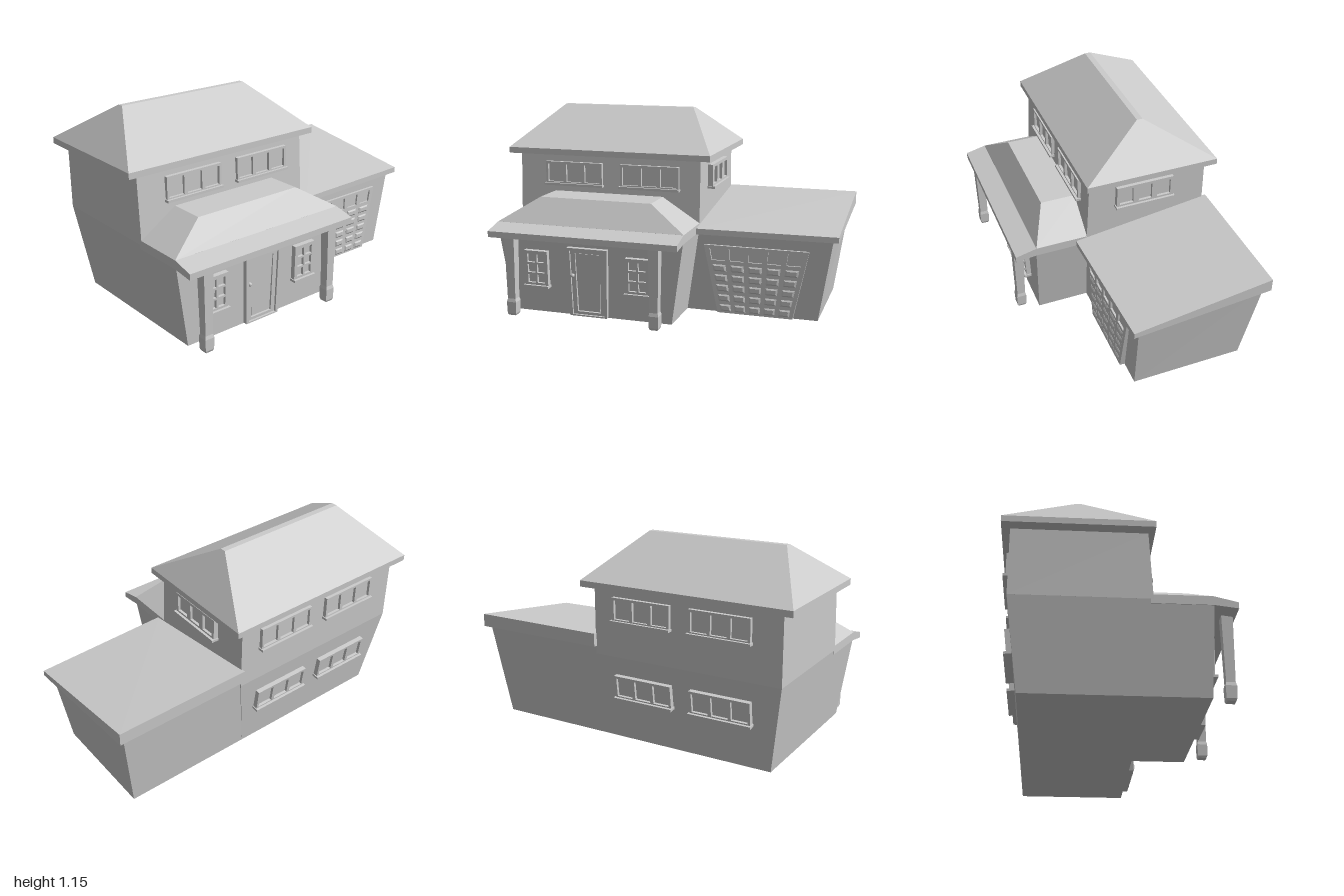
import * as THREE from 'three';

const material = new THREE.MeshStandardMaterial({ color: 0xcccccc, flatShading: true });

function addMesh(parent, name, geometry) {
  const mesh = new THREE.Mesh(geometry, material);
  mesh.name = name;
  parent.add(mesh);
  return mesh;
}

// Closed solid through a stack of four-cornered rings
function loft(rings) {
  const p = [];
  const quad = (a, b, c, d) => p.push(...a, ...b, ...c, ...a, ...c, ...d);
  for (let r = 0; r < rings.length - 1; r++) {
    for (let i = 0; i < 4; i++) {
      const j = (i + 1) % 4;
      quad(rings[r][i], rings[r][j], rings[r + 1][j], rings[r + 1][i]);
    }
  }
  const [a, b, c, d] = rings[0];
  quad(d, c, b, a);
  quad(...rings[rings.length - 1]);
  const g = new THREE.BufferGeometry();
  g.setAttribute('position', new THREE.Float32BufferAttribute(p, 3));
  g.computeVertexNormals();
  return g;
}

// Horizontal ring; front and back edges may differ in height
const ring = (x0, x1, z0, z1, yFront, yBack = yFront) =>
  [[x0, yFront, z1], [x1, yFront, z1], [x1, yBack, z0], [x0, yBack, z0]];

// Trapezoid face: maps u (-1..1) and v (0..1) to x and y
const taper = (bottom, top, h) => (u, v) => [u * (bottom + (top - bottom) * v) / 2, v * h];

const corners = (map, u0, u1, v0, v1) => [map(u0, v0), map(u1, v0), map(u1, v1), map(u0, v1)];

// Plate with rectangular openings given as [u0, u1, v0, v1]
function plate(map, openings, depth) {
  const toPoints = (c) => c.map(([x, y]) => new THREE.Vector2(x, y));
  const shape = new THREE.Shape(toPoints(corners(map, -1, 1, 0, 1)));
  for (const o of openings) shape.holes.push(new THREE.Path(toPoints(corners(map, ...o)).reverse()));
  return new THREE.ExtrudeGeometry(shape, { depth, bevelEnabled: false });
}

// Even grid of cells inside a border, in u and v
function cells(cols, rows, u0, u1, v0, v1, gapU, gapV) {
  const out = [];
  const w = (u1 - u0 - gapU * (cols - 1)) / cols;
  const h = (v1 - v0 - gapV * (rows - 1)) / rows;
  for (let r = 0; r < rows; r++) {
    for (let c = 0; c < cols; c++) {
      const u = u0 + c * (w + gapU), v = v0 + r * (h + gapV);
      out.push([u, u + w, v, v + h]);
    }
  }
  return out;
}

// Group placed on a wall: turn about y, then lean outwards at the top
function onWall(parent, name, x, y, z, turn = 0, lean = 0) {
  const g = new THREE.Group();
  g.name = name;
  g.rotation.order = 'YXZ';
  g.rotation.set(lean, turn, 0);
  g.position.set(x, y, z);
  parent.add(g);
  return g;
}

function addWindow(parent, name, { x, y, z, turn, lean, w, h, cols, rows, border, gap }) {
  const g = onWall(parent, name, x, y, z, turn, lean);
  const bu = 2 * border / w, bv = border / h;
  const openings = cells(cols, rows, -1 + bu, 1 - bu, bv, 1 - bv, 2 * gap / w, gap / h);
  addMesh(g, 'windowFrame', plate(taper(w, w, h), openings, 0.03));
  addMesh(g, 'glass', new THREE.BoxGeometry(w - 0.01, h - 0.01, 0.014)).position.set(0, h / 2, 0.007);
  addMesh(g, 'sill', new THREE.BoxGeometry(w + 0.012, 0.014, 0.045)).position.set(0, 0, 0.0225);
}

export function createModel() {
  const house = new THREE.Group();
  house.name = 'house';

  // Walls, flaring outwards up to the first floor
  addMesh(house, 'lowerWalls', loft([
    ring(-0.86, 0.12, -0.495, 0.463, 0),
    ring(-0.935, 0.195, -0.56, 0.483, 0.5),
  ]));
  addMesh(house, 'upperWalls', loft([
    ring(-0.935, 0.195, -0.56, 0.175, 0.499),
    ring(-0.935, 0.195, -0.56, 0.155, 0.89),
  ]));
  addMesh(house, 'garageWalls', loft([
    ring(0.1, 0.89, -0.495, 0.155, 0),
    ring(0.1, 0.968, -0.56, 0.172, 0.488, 0.555),
  ]));

  // Roofs
  addMesh(house, 'mainRoof', loft([
    ring(-1, 0.26, -0.605, 0.19, 0.885),
    ring(-1, 0.26, -0.605, 0.19, 0.92),
    ring(-0.79, 0.05, -0.222, -0.187, 1.155),
  ]));
  addMesh(house, 'porchRoof', loft([
    ring(-0.935, 0.195, 0.16, 0.481, 0.475),
    ring(-0.935, 0.195, 0.16, 0.481, 0.525),
    ring(-0.71, -0.03, 0.16, 0.375, 0.665),
  ]));
  addMesh(house, 'porchEave', loft([
    ring(-0.935, 0.195, 0.48, 0.605, 0.46, 0.475),
    ring(-0.935, 0.195, 0.48, 0.605, 0.495, 0.525),
  ]));
  const garageRing = (yFront, yBack) => {
    const r = ring(0.19, 1, -0.585, 0.24, yFront, yBack);
    r[1][2] = 0.213;
    return r;
  };
  addMesh(house, 'garageRoof', loft([garageRing(0.475, 0.545), garageRing(0.508, 0.62)]));

  // Porch posts with thicker feet
  for (const x of [-0.81, 0.055]) {
    const profile = [[0, 0.022], [0.012, 0.027], [0.08, 0.029], [0.1, 0.024], [0.47, 0.03]];
    addMesh(house, 'porchPost', loft(profile.map(([y, r]) => ring(x - r, x + r, 0.561 - r, 0.561 + r, y))));
  }

  // Three-pane windows
  const wide = { w: 0.36, h: 0.135, cols: 3, rows: 1, border: 0.014, gap: 0.02 };
  for (const x of [-0.585, -0.11]) {
    addWindow(house, 'frontUpperWindow', { ...wide, x, y: 0.708, z: 0.15 });
    addWindow(house, 'backUpperWindow', { ...wide, x, y: 0.708, z: -0.552, turn: Math.PI });
    addWindow(house, 'backLowerWindow', { ...wide, x, y: 0.26, z: -0.527, turn: Math.PI, lean: 0.12 });
  }
  addWindow(house, 'sideWindow', {
    ...wide, x: 0.195, y: 0.705, z: -0.177, turn: Math.PI / 2, w: 0.35, border: 0.018, gap: 0.034,
  });

  // Six-pane windows beside the door
  for (const x of [-0.69, -0.07]) {
    addWindow(house, 'porchWindow', {
      x, y: 0.162, z: 0.468, lean: 0.04, w: 0.145, h: 0.212, cols: 2, rows: 3, border: 0.02, gap: 0.012,
    });
  }

  // Front door
  const door = onWall(house, 'frontDoor', -0.372, 0.004, 0.46, 0, 0.04);
  const doorMap = taper(0.225, 0.245, 0.405);
  addMesh(door, 'doorFrame', plate(doorMap, [[-0.86, 0.86, 0.02, 0.96]], 0.03));
  addMesh(door, 'doorLeaf', plate(doorMap, [[-0.66, 0.66, 0.06, 0.93]], 0.018)).scale.set(0.95, 0.99, 1);
  addMesh(door, 'doorPanel', plate(taper(0.13, 0.15, 0.34), [], 0.013)).position.y = 0.03;
  addMesh(door, 'doorKnob', new THREE.SphereGeometry(0.012, 10, 8)).position.set(-0.092, 0.24, 0.025);

  // Garage door: row of windows above raised panels
  const garage = onWall(house, 'garageDoor', 0.53, 0.004, 0.152);
  const garageMap = taper(0.44, 0.61, 0.4);
  addMesh(garage, 'garageDoorSlab', plate(garageMap, cells(5, 1, -0.9, 0.9, 0.78, 0.955, 0.1, 0), 0.033));
  addMesh(garage, 'garageGlass', plate(taper(0.43, 0.6, 0.39), [], 0.022));
  for (const [u0, u1, v0, v1] of cells(5, 5, -0.9, 0.9, 0.03, 0.72, 0.1, 0.05)) {
    const level = (du, dv, z) => corners(garageMap, u0 + du, u1 - du, v0 + dv, v1 - dv).map(([x, y]) => [x, y, z]);
    addMesh(garage, 'garagePanel', loft([level(0, 0, 0.03), level(0, 0, 0.034), level(0.04, 0.02, 0.04)]));
  }

  return house;
}
